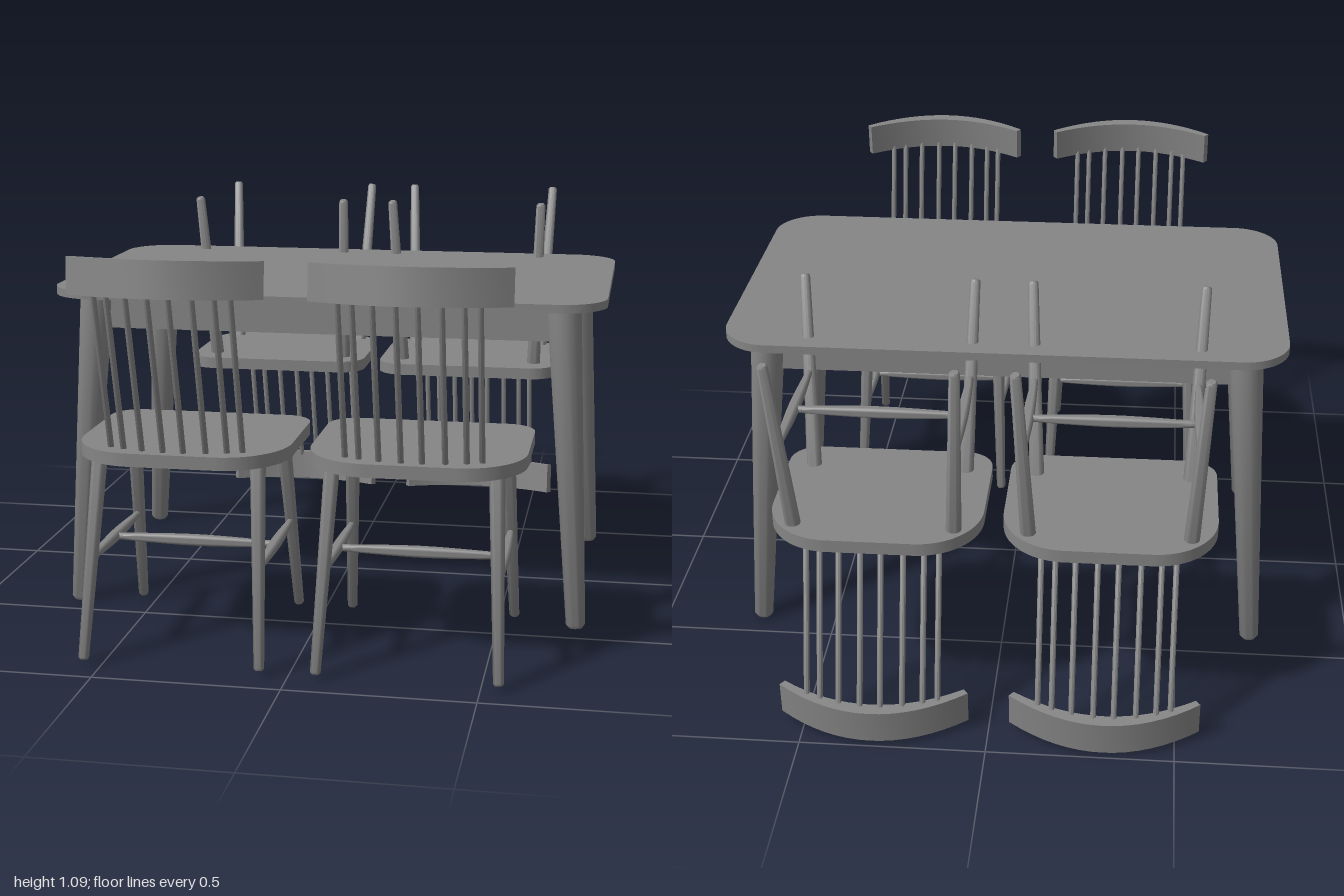
import * as THREE from 'three';
import { toCreasedNormals } from 'three/addons/utils/BufferGeometryUtils.js';

const material = new THREE.MeshStandardMaterial({ color: 0x858585 });
const V = (x, y, z) => new THREE.Vector3(x, y, z);

function add(parent, name, geometry) {
  const mesh = new THREE.Mesh(geometry, material);
  mesh.name = name;
  parent.add(mesh);
  return mesh;
}

// Turned rod from a to b with an eased foot; the radii are spread evenly along its length.
function rod(parent, name, a, b, radii, sides = 16) {
  const dir = b.clone().sub(a);
  const length = dir.length();
  const foot = radii[0];
  const curve = new THREE.SplineCurve(
    radii.map((r, i) => new THREE.Vector2(r, foot * 0.4 + (length - foot * 0.4) * i / (radii.length - 1))));
  const profile = [
    new THREE.Vector2(0, 0),
    new THREE.Vector2(foot * 0.7, 0),
    ...curve.getPoints(radii.length > 2 ? 12 : 1),
    new THREE.Vector2(0, length),
  ];
  const geometry = toCreasedNormals(new THREE.LatheGeometry(profile, sides), 0.8);
  const mesh = add(parent, name, geometry);
  mesh.position.copy(a);
  mesh.quaternion.setFromUnitVectors(V(0, 1, 0), dir.normalize());
}

// Flat slab: the shape is drawn in x and z, its upper face lies at y = top.
function slab(parent, name, shape, top, thickness) {
  const geometry = new THREE.ExtrudeGeometry(shape, {
    depth: thickness, bevelEnabled: false, curveSegments: 16,
  });
  geometry.rotateX(Math.PI / 2);
  geometry.translate(0, top, 0);
  return add(parent, name, toCreasedNormals(geometry, 0.6));
}

// Rectangle in x and z with its own corner radius at the near and far z ends.
function roundedShape(w, z0, z1, r0, r1x, r1z) {
  const s = new THREE.Shape();
  s.moveTo(-w + r0, z0);
  s.lineTo(w - r0, z0);
  s.absarc(w - r0, z0 + r0, r0, -Math.PI / 2, 0);
  s.lineTo(w, z1 - r1z);
  s.absellipse(w - r1x, z1 - r1z, r1x, r1z, 0, Math.PI / 2);
  s.lineTo(-w + r1x, z1);
  s.absellipse(-w + r1x, z1 - r1z, r1x, r1z, Math.PI / 2, Math.PI);
  s.lineTo(-w, z0 + r0);
  s.absarc(-w + r0, z0 + r0, r0, Math.PI, Math.PI * 1.5);
  return s;
}

function createTable() {
  const table = new THREE.Group();
  table.name = 'table';
  slab(table, 'tableTop', roundedShape(0.775, -0.475, 0.475, 0.13, 0.13, 0.13), 0.92, 0.023);

  for (const s of [-1, 1]) {
    // Apron boards run between the leg tops
    add(table, 'longApron', new THREE.BoxGeometry(1.3, 0.097, 0.025)).position.set(0, 0.849, s * 0.36);
    add(table, 'shortApron', new THREE.BoxGeometry(0.025, 0.097, 0.72)).position.set(s * 0.66, 0.849, 0);
    // Tapered, splayed legs
    for (const t of [-1, 1]) {
      rod(table, 'tableLeg', V(s * 0.716, 0.002, t * 0.417), V(s * 0.658, 0.9, t * 0.36), [0.027, 0.047], 24);
    }
  }
  return table;
}

function createChair() {
  const chair = new THREE.Group();
  chair.name = 'chair';
  slab(chair, 'seat', roundedShape(0.284, 0.387, 0.882, 0.08, 0.17, 0.18), 0.57, 0.035);

  // Legs and side stretchers
  const stretcher = [0.009, 0.016, 0.009];
  for (const s of [-1, 1]) {
    rod(chair, 'backLeg', V(s * 0.236, 0.016, 0.919), V(s * 0.212, 0.55, 0.797), [0.014, 0.021]);
    rod(chair, 'frontLeg', V(s * 0.232, 0.01, 0.37), V(s * 0.212, 0.55, 0.487), [0.014, 0.021]);
    rod(chair, 'sideStretcher', V(s * 0.222, 0.275, 0.43), V(s * 0.226, 0.275, 0.86), stretcher);
  }
  rod(chair, 'crossStretcher', V(-0.224, 0.275, 0.655), V(0.224, 0.275, 0.655), stretcher);

  // Back spindles follow the curve of the crest rail and end inside it
  for (const offset of [0.027, 0.085, 0.138, 0.176]) {
    const k = (offset / 0.176) ** 2;
    for (const x of [-offset, offset]) {
      rod(chair, 'backSpindle', V(x, 0.555, 0.848 - 0.035 * k), V(x, 1.012, 0.973 - 0.038 * k), [0.008, 0.008], 10);
    }
  }

  // Curved crest rail, tipped slightly forward
  const crest = new THREE.Shape();
  crest.moveTo(-0.255, -0.07);
  crest.lineTo(-0.243, -0.085);
  crest.quadraticCurveTo(0, 0.068, 0.243, -0.085);
  crest.lineTo(0.255, -0.07);
  crest.quadraticCurveTo(0, 0.126, -0.255, -0.07);
  const rail = slab(chair, 'crestRail', crest, 0.048, 0.096);
  rail.position.set(0, 1.039, 0.968);
  rail.rotation.x = -0.1;
  return chair;
}

export function createModel() {
  const model = new THREE.Group();
  model.name = 'diningSet';
  model.add(createTable());

  for (const x of [-0.31, 0.31]) {
    const upright = createChair();
    upright.name = 'uprightChair';
    upright.position.x = x;
    // The rear chairs are turned upside down
    const flipped = createChair();
    flipped.name = 'upturnedChair';
    flipped.position.set(x, 1.1, 0);
    flipped.rotation.x = Math.PI;
    model.add(upright, flipped);
  }
  return model;
}
